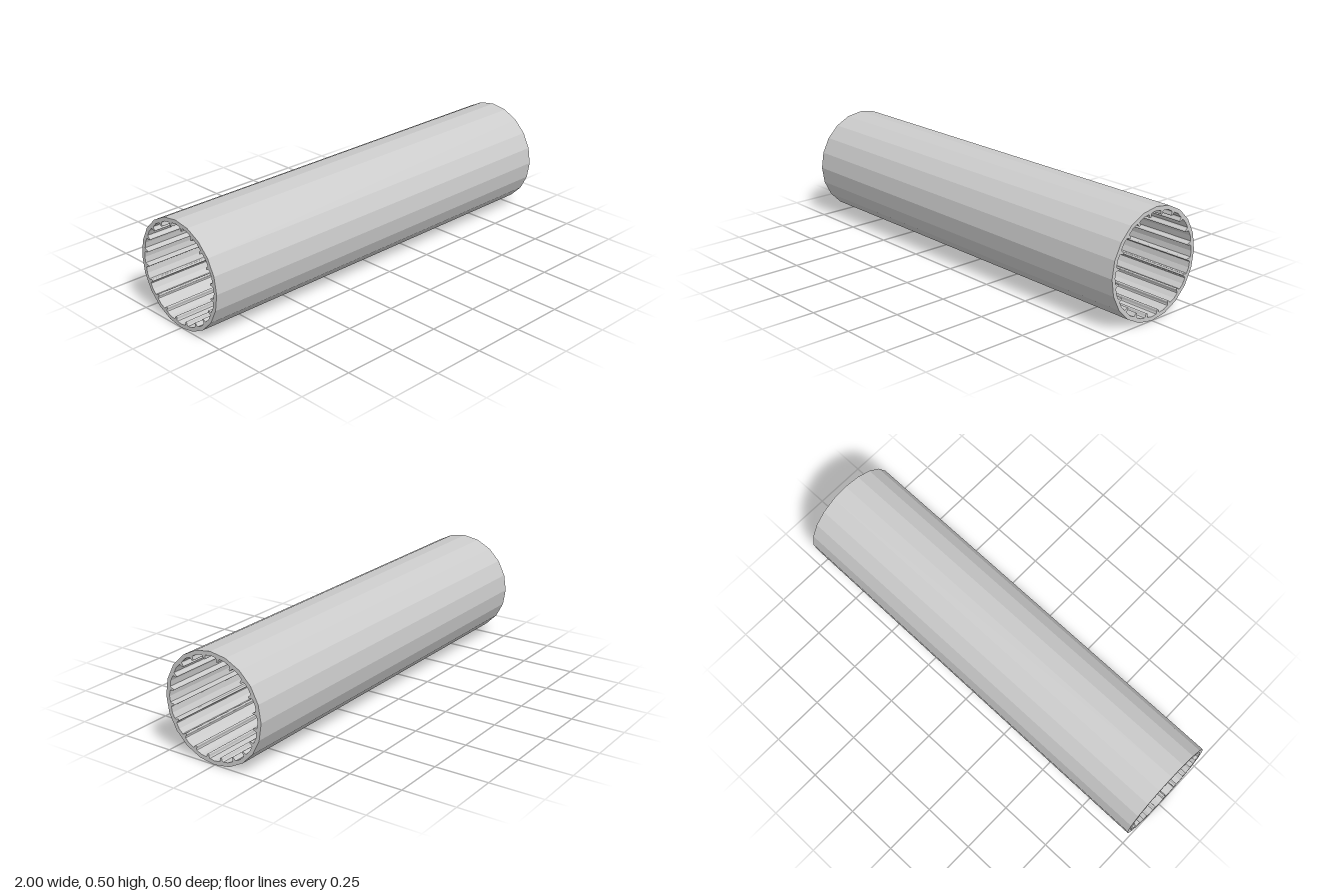
import * as THREE from 'three';

const SIDES = 20, LENGTH = 2, OUTER = 0.25, INNER = 0.232;
const STEP = (Math.PI * 2) / SIDES;

// Half of a fin's outline: [distance from tube axis, half width], wall to tip
const FIN = [
  [INNER * Math.cos(STEP / 2), 0.0105], [0.2265, 0.0075], [0.223, 0.006],
  [0.2145, 0.0045], [0.2122, 0.0032], [0.211, 0.0012],
];

const polar = (r, a) => new THREE.Vector2(r * Math.cos(a), r * Math.sin(a));

export function createModel() {
  const outer = [], inner = [];
  for (let i = 0; i < SIDES; i++) {
    const a = i * STEP, mid = a + STEP / 2;
    outer.push(polar(OUTER, a));
    inner.push(polar(INNER, a));
    // One rounded fin in the middle of each inner facet
    const finPoint = ([r, w], side) => polar(r, mid).add(polar(side * w, mid + Math.PI / 2));
    FIN.forEach((p) => inner.push(finPoint(p, -1)));
    [...FIN].reverse().forEach((p) => inner.push(finPoint(p, 1)));
  }

  // Faceted tube wall with the finned bore cut through it
  const section = new THREE.Shape(outer);
  section.holes.push(new THREE.Path(inner));
  const geometry = new THREE.ExtrudeGeometry(section, { depth: LENGTH, bevelEnabled: false });
  geometry.translate(0, 0, -LENGTH / 2).rotateY(Math.PI / 2);

  const tube = new THREE.Mesh(
    geometry,
    new THREE.MeshStandardMaterial({ color: 0xcccccc, flatShading: true })
  );
  tube.name = 'finnedTube';
  tube.position.y = OUTER;

  const group = new THREE.Group();
  group.name = 'internallyFinnedPipe';
  group.add(tube);
  return group;
}
